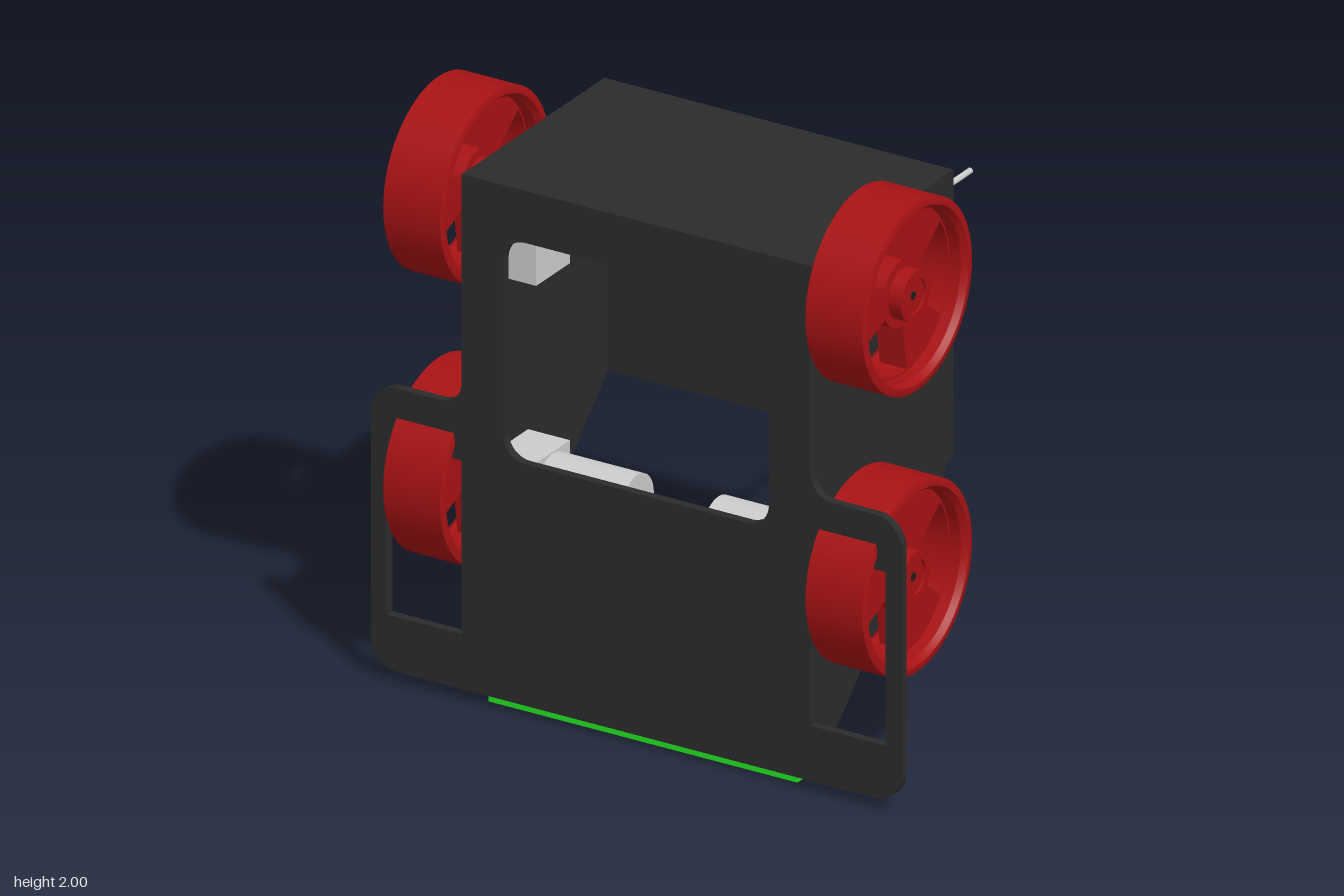
import * as THREE from 'three';
import { toCreasedNormals } from 'three/addons/utils/BufferGeometryUtils.js';

const paint = (color) => new THREE.MeshStandardMaterial({ color });
const black = paint(0x2b2b2b), red = paint(0xa81214), grey = paint(0xcccccc), green = paint(0x22e022);
const battery = paint(0x25251a), orange = paint(0xd8801c), olive = paint(0x6a6a10), dark = paint(0x1c1c1c);
const bracketRed = paint(0x7a1010);

function add(parent, name, geometry, material, x = 0, y = 0, z = 0) {
  const mesh = new THREE.Mesh(geometry, material);
  mesh.name = name;
  mesh.position.set(x, y, z);
  parent.add(mesh);
  return mesh;
}

// Box given by its limits on each axis
function box(parent, name, material, x0, x1, y0, y1, z0, z1) {
  return add(parent, name, new THREE.BoxGeometry(x1 - x0, y1 - y0, z1 - z0), material,
    (x0 + x1) / 2, (y0 + y1) / 2, (z0 + z1) / 2);
}

function extrude(shape, depth) {
  const g = new THREE.ExtrudeGeometry(shape, { depth, bevelEnabled: false, curveSegments: 12 });
  return toCreasedNormals(g, 0.6);
}

// Cylinder along x or z
function rod(parent, name, material, radius, length, axis, x, y, z) {
  const g = new THREE.CylinderGeometry(radius, radius, length, 32);
  if (axis === 'x') g.rotateZ(Math.PI / 2); else g.rotateX(Math.PI / 2);
  return add(parent, name, g, material, x, y, z);
}

function roundedRect(path, x0, x1, y0, y1, r) {
  path.moveTo(x0 + r, y0);
  path.lineTo(x1 - r, y0);
  path.absarc(x1 - r, y0 + r, r, -Math.PI / 2, 0);
  path.lineTo(x1, y1 - r);
  path.absarc(x1 - r, y1 - r, r, 0, Math.PI / 2);
  path.lineTo(x0 + r, y1);
  path.absarc(x0 + r, y1 - r, r, Math.PI / 2, Math.PI);
  path.lineTo(x0, y0 + r);
  path.absarc(x0 + r, y0 + r, r, Math.PI, Math.PI * 1.5);
  return path;
}

function polygon(points) {
  return new THREE.Shape(points.map(([x, y]) => new THREE.Vector2(x, y)));
}

// Front plate with bumper wings, wheel slots and a window
function frontPlate() {
  const H = Math.PI / 2, s = new THREE.Shape();
  s.moveTo(-0.88, 0.04);
  s.lineTo(0.88, 0.04);
  s.absarc(0.88, 0.14, 0.1, -H, 0);
  s.lineTo(0.98, 0.92);
  s.absarc(0.88, 0.92, 0.1, 0, H);
  s.lineTo(0.725, 1.02);
  s.absarc(0.725, 1.1, 0.08, -H, -Math.PI, true);
  s.lineTo(0.645, 1.82);
  s.lineTo(-0.645, 1.82);
  s.lineTo(-0.645, 1.1);
  s.absarc(-0.725, 1.1, 0.08, 0, -H, true);
  s.lineTo(-0.88, 1.02);
  s.absarc(-0.88, 0.92, 0.1, H, Math.PI);
  s.lineTo(-0.98, 0.14);
  s.absarc(-0.88, 0.14, 0.1, Math.PI, Math.PI * 1.5);
  s.holes.push(roundedRect(new THREE.Path(), -0.49, 0.49, 0.875, 1.64, 0.08));
  for (const [a, b] of [[0.645, 0.92], [-0.92, -0.645]]) {
    s.holes.push(new THREE.Path([[a, 0.23], [a, 0.83], [b, 0.83], [b, 0.23]].map(p => new THREE.Vector2(...p))));
  }
  return extrude(s, 0.03);
}

// Three-spoke wheel, outer face towards local +z, one spoke towards -x
function wheel() {
  const g = new THREE.Group();
  const rim = [[0.31, -0.11], [0.325, -0.105], [0.325, 0.105], [0.31, 0.11], [0.298, 0.11], [0.283, 0.09],
    [0.283, -0.09], [0.298, -0.11], [0.31, -0.11]].map(p => new THREE.Vector2(...p));
  const rimGeo = toCreasedNormals(new THREE.LatheGeometry(rim, 64), 0.5);
  rimGeo.rotateX(Math.PI / 2);
  add(g, 'rim', rimGeo, red);

  const web = new THREE.Shape();
  web.absarc(0, 0, 0.29, 0, Math.PI * 2);
  for (let i = 0; i < 3; i++) {
    const mid = i * Math.PI * 2 / 3, hole = new THREE.Path();
    hole.absarc(0, 0, 0.276, mid - 0.62, mid + 0.62);
    hole.absarc(0, 0, 0.115, mid + 0.55, mid - 0.55, true);
    web.holes.push(hole);
  }
  add(g, 'spokes', extrude(web, 0.1), red, 0, 0, -0.05);

  const hub = new THREE.Shape();
  hub.absarc(0, 0, 0.085, 0, Math.PI * 2);
  const bore = new THREE.Path();
  bore.absarc(0, 0, 0.06, 0, Math.PI * 2);
  hub.holes.push(bore);
  add(g, 'hub', extrude(hub, 0.21), red, 0, 0, -0.11);
  rod(g, 'hubCore', red, 0.061, 0.18, 'z', 0, 0, 0);
  rod(g, 'axleEnd', dark, 0.014, 0.184, 'z', 0, 0, 0);
  return g;
}

// Wheel with its geared motor, on side s (+1 or -1)
function drive(s, y) {
  const g = new THREE.Group(), z = 0.37;
  const w = wheel();
  w.name = 'wheel';
  w.position.set(s * 0.78, y, z);
  w.rotation.set(0, s * Math.PI / 2, s > 0 ? 0 : Math.PI);
  g.add(w);
  rod(g, 'axle', grey, 0.03, 0.12, 'x', s * 0.64, y, z);
  add(g, 'gearbox', new THREE.BoxGeometry(0.155, 0.36, 0.2), grey, s * 0.5375, y - 0.075, z);
  rod(g, 'motor', grey, 0.1, 0.32, 'x', s * 0.31, y, z);
  rod(g, 'motorBoss', grey, 0.035, 0.02, 'x', s * 0.14, y, z);
  rod(g, 'motorPin', dark, 0.012, 0.03, 'x', s * 0.135, y, z);
  return g;
}

// Control box on the back with display, keys and antenna
function controlBox() {
  const g = new THREE.Group();
  const shell = roundedRect(new THREE.Shape(), -0.54, 0.54, 0.935, 1.69, 0.09);
  add(g, 'shell', extrude(shell, 0.16), grey, 0, 0, -0.39);
  box(g, 'displayBoard', dark, -0.44, 0.44, 1.04, 1.235, -0.396, -0.385);
  box(g, 'displayBezel', dark, -0.36, 0.36, 1.06, 1.217, -0.41, -0.385);
  box(g, 'displayScreen', olive, -0.33, 0.33, 1.09, 1.185, -0.413, -0.4);
  for (const x of [-0.41, 0.41]) for (const y of [1.07, 1.205])
    rod(g, 'displayScrew', grey, 0.016, 0.012, 'z', x, y, -0.396);

  const y = 1.4;
  box(g, 'centreKey', orange, -0.1, 0.1, y - 0.045, y + 0.045, -0.402, -0.385);
  for (const s of [1, -1]) {
    const tip = [s * 0.255, y], a = [s * 0.17, y - 0.048], b = [s * 0.17, y + 0.048];
    add(g, 'arrowKey', extrude(polygon([tip, a, b]), 0.015), orange, 0, 0, -0.402);
    for (const t of [1, -1]) {
      const corner = [[0.06, 0.085], [0.14, 0.085], [0.14, 0.035], [0.12, 0.035], [0.12, 0.065], [0.06, 0.065]];
      add(g, 'keyBracket', extrude(polygon(corner.map(p => [s * p[0], y + t * p[1]])), 0.015), bracketRed, 0, 0, -0.4);
    }
  }
  rod(g, 'antennaBase', grey, 0.025, 0.06, 'z', 0.42, 1.58, -0.41);
  rod(g, 'antennaRod', grey, 0.01, 0.26, 'z', 0.42, 1.58, -0.56);
  return g;
}

export function createModel() {
  const model = new THREE.Group();
  const put = (name, part) => { part.name = name; model.add(part); };

  // Body shell, open along its sloping underside
  add(model, 'frontPlate', frontPlate(), black, 0, 0, 0.585);
  const side = polygon([[-0.6, 0.04], [-0.585, 0.04], [0.205, 0.83], [0.23, 0.83], [0.23, 1.82], [-0.6, 1.82]]);
  for (const x of [-0.645, 0.615]) {
    const geo = extrude(side, 0.03);
    geo.rotateY(Math.PI / 2);
    add(model, 'sideWall', geo, black, x, 0, 0);
  }
  box(model, 'backWall', black, -0.63, 0.63, 0.83, 1.82, -0.23, -0.2);
  box(model, 'topWall', black, -0.63, 0.63, 1.79, 1.82, -0.23, 0.6);

  // Battery housing and the strip under it
  box(model, 'batteryHousing', battery, -0.6, 0.6, 0.04, 0.3, 0.41, 0.59);
  box(model, 'batteryCover', battery, -0.28, 0.28, 0.04, 0.28, 0.34, 0.42);
  box(model, 'bottomStrip', green, -0.57, 0.57, 0, 0.042, 0.43, 0.575);

  for (const s of [1, -1]) {
    put('upperDrive', drive(s, 1.677));
    put('lowerDrive', drive(s, 0.705));
  }
  rod(model, 'sideButton', grey, 0.062, 0.02, 'x', 0.645, 1.5, 0.37);
  put('controlBox', controlBox());
  return model;
}
